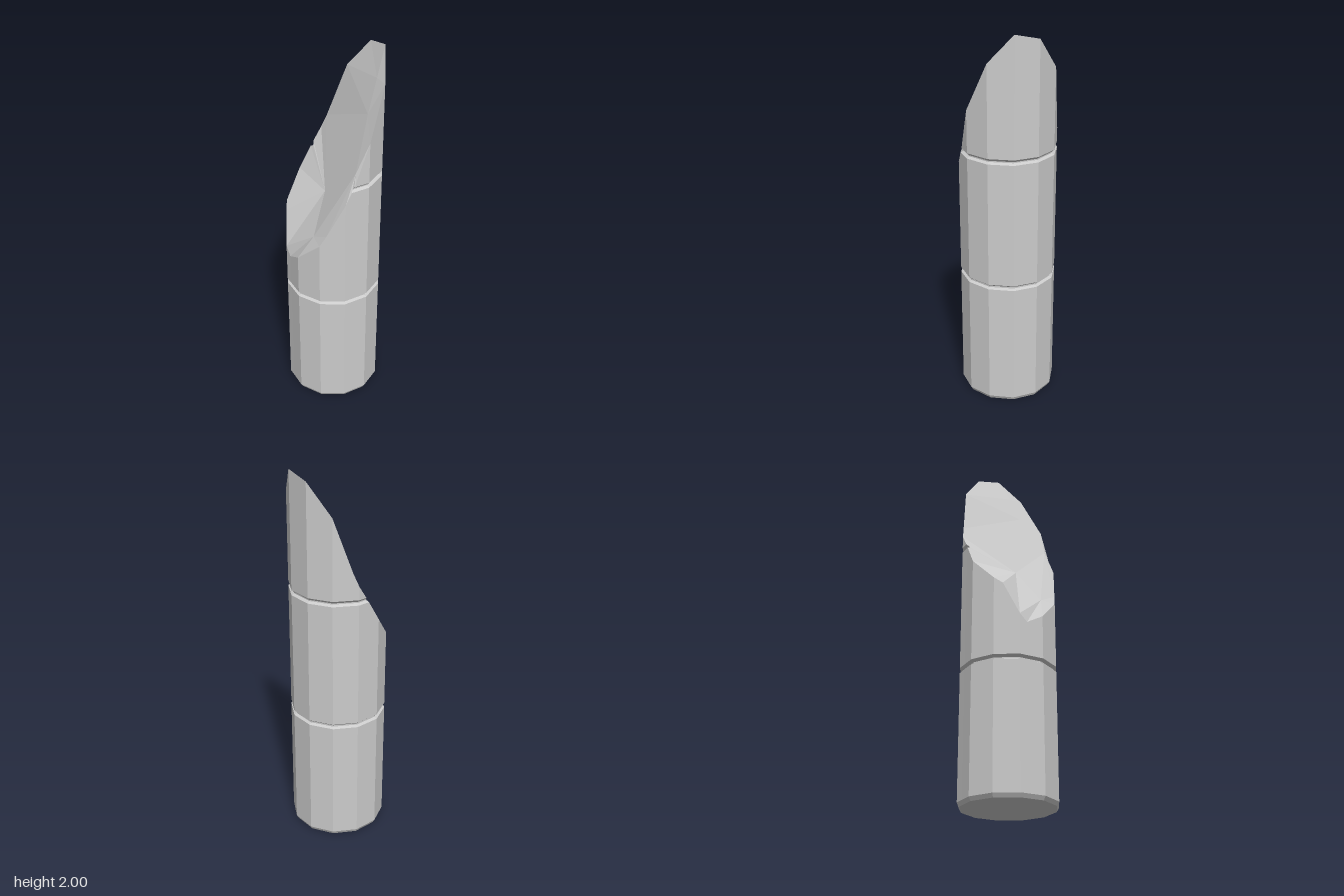
import * as THREE from 'three';

// Stalk profile: [scale of the twelve-sided section, height], with a bottom bevel and two grooves
const profile = [
  [0.955, 0], [1, 0.02],
  [1, 0.675], [0.94, 0.682], [0.94, 0.69], [1, 0.702],
  [1, 1.362], [0.94, 1.37], [0.94, 1.376], [1, 1.39], [1, 2.1],
];

// Inner points of the hewn cut
const hubs = {
  A: [-0.04, 1.25, 0.04], B: [-0.095, 1.06, 0.17], C: [0.165, 1.7, 0.06],
  D: [0.205, 1.86, 0], E: [0.11, 1.45, 0.195],
};

// Rim of the cut: x, height, z, and the inner point its next edge joins
const rim = [
  [0.2415, 1.86, 0.065, 'C'], [0.177, 1.61, 0.177, 'E'], [0.11, 1.4, 0.2155, 'E'],
  [0.065, 1.3, 0.2415, 'E'], [-0.03, 1.11, 0.2415, 'B'], [-0.065, 1.05, 0.2415, 'B'],
  [-0.177, 0.93, 0.177, 'B'], [-0.221, 0.88, 0.1, 'B'], [-0.2415, 0.92, 0.065, 'A'],
  [-0.2415, 1.09, -0.02, 'A'], [-0.2415, 1.12, -0.065, 'A'], [-0.177, 1.25, -0.177, 'A'],
  [-0.11, 1.38, -0.2155, 'A'], [-0.065, 1.46, -0.2415, 'A'], [-0.035, 1.53, -0.2415, 'C'],
  [0.065, 1.81, -0.2415, 'D'], [0.177, 1.97, -0.177, 'D'], [0.2415, 2, -0.065, 'D'],
];

function scaleAt(y) {
  for (let i = 1; i < profile.length; i++) {
    const [s0, y0] = profile[i - 1], [s1, y1] = profile[i];
    if (y <= y1) return s0 + (s1 - s0) * (y - y0) / (y1 - y0);
  }
  return 1;
}

// Point on a column of the wall, never above the cut
function onColumn([x, top, z], y) {
  const h = Math.min(y, top), s = scaleAt(h);
  return [x * s, h, z * s];
}

// Add columns wherever the rim crosses a groove level, so that grooves stay level
function splitRim() {
  const out = [];
  rim.forEach((a, i) => {
    const b = rim[(i + 1) % rim.length];
    out.push(a);
    profile.map(([, y]) => (y - a[1]) / (b[1] - a[1]))
      .filter((t) => t > 0.001 && t < 0.999)
      .sort((p, q) => p - q)
      .forEach((t) => out.push([0, 1, 2].map((k) => a[k] + (b[k] - a[k]) * t).concat(a[3])));
  });
  return out;
}

function facetedMesh(name, triangles) {
  const solid = triangles.filter((t) =>
    new THREE.Triangle(...t.map((p) => new THREE.Vector3(...p))).getArea() > 1e-9);
  const geometry = new THREE.BufferGeometry();
  geometry.setAttribute('position', new THREE.Float32BufferAttribute(solid.flat(2), 3));
  geometry.computeVertexNormals();
  const mesh = new THREE.Mesh(geometry,
    new THREE.MeshStandardMaterial({ color: 0xcccccc, flatShading: true }));
  mesh.name = name;
  return mesh;
}

export function createModel() {
  const columns = splitRim();
  const wall = [], base = [], cut = [];
  columns.forEach((cur, i) => {
    const next = columns[(i + 1) % columns.length];
    const prev = columns[(i + columns.length - 1) % columns.length];

    // Wall strips between neighbouring profile levels
    for (let k = 1; k < profile.length; k++) {
      const lo = profile[k - 1][1], hi = profile[k][1];
      const a = onColumn(cur, lo), b = onColumn(cur, hi);
      const c = onColumn(next, hi), d = onColumn(next, lo);
      wall.push([a, b, d], [b, c, d]);
    }

    // Flat underside
    base.push([[0, 0, 0], onColumn(cur, 0), onColumn(next, 0)]);

    // Cut facets from the rim to the inner points
    const r = onColumn(cur, 3), hub = hubs[cur[3]];
    cut.push([hub, onColumn(next, 3), r]);
    if (prev[3] !== cur[3]) cut.push([r, hubs[prev[3]], hub]);
  });
  // Middle of the cut
  cut.push([hubs.A, hubs.E, hubs.C], [hubs.A, hubs.B, hubs.E]);

  const model = new THREE.Group();
  model.name = 'sharpenedStake';
  model.add(facetedMesh('stalk', wall), facetedMesh('base', base), facetedMesh('cutFace', cut));
  return model;
}
